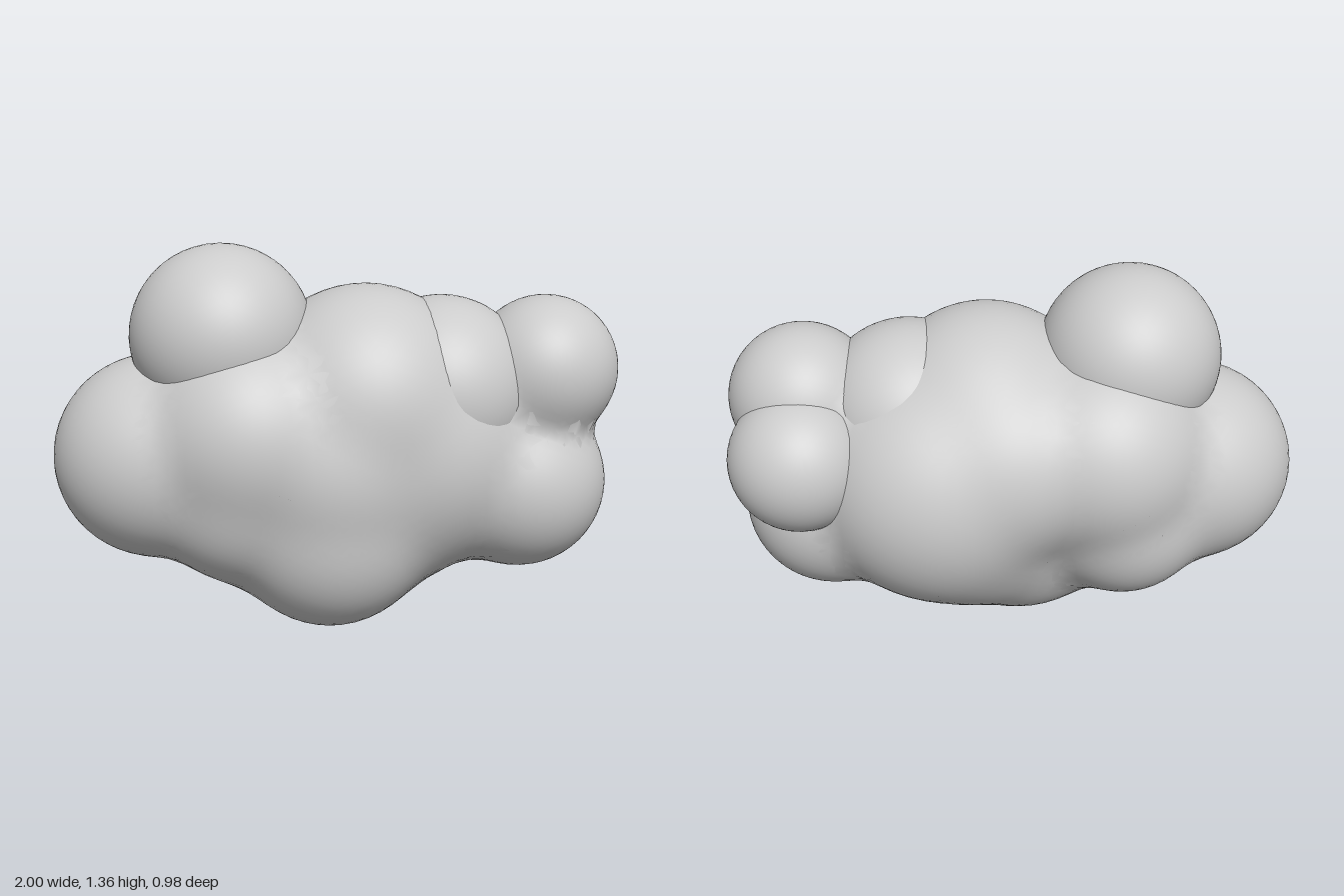
import * as THREE from 'three';

// Puffs of the cloud: name, centre x, y, z, radius
// Soft puffs melt into each other with rounded valleys
const SOFT = [
  ['leftEndPuff', -0.64, 0.62, 0.02, 0.36],
  ['topMiddlePuff', 0.1, 0.82, 0.05, 0.405],
  ['upperEndPuff', 0.74, 0.917, 0.05, 0.26],
  ['lowerEndPuff', 0.66, 0.5, 0.04, 0.315],
  ['bottomPuff', -0.03, 0.365, 0.1, 0.36],
  ['corePuff', 0.27, 0.63, -0.03, 0.46],
  ['frontLeftPuff', -0.31, 0.72, 0.11, 0.38],
  ['frontMiddlePuff', -0.02, 0.6, 0.12, 0.365],
  ['backLeftPuff', -0.3, 0.76, -0.11, 0.365],
  ['backMiddlePuff', 0.03, 0.74, -0.1, 0.365],
  ['backLowerPuff', -0.38, 0.5, -0.12, 0.295],
  ['frontLowerPuff', -0.36, 0.5, 0.13, 0.295],
  ['rightSaddlePuff', 0.14, 0.48, 0, 0.37],
  ['leftSaddlePuff', -0.24, 0.46, 0.05, 0.32],
];

// Firm puffs keep a sharp crease where they meet the rest
const FIRM = [
  ['crownPuff', -0.4, 1.05, 0.03, 0.32],
  ['shoulderPuff', 0.37, 0.85, 0.04, 0.33],
  ['backEndPuff', 0.75, 0.77, -0.14, 0.25],
];

const BLEND = 0.03;

// Smooth distance to the union of the soft puffs
function distance(p) {
  let sum = 0;
  for (const [, x, y, z, r] of SOFT) {
    sum += Math.exp((r - Math.hypot(p.x - x, p.y - y, p.z - z)) / BLEND);
  }
  return -BLEND * Math.log(sum);
}

// Outward direction of the blended surface
function slope(p) {
  const e = 0.002;
  const along = (x, y, z) =>
    distance(new THREE.Vector3(p.x + x, p.y + y, p.z + z)) -
    distance(new THREE.Vector3(p.x - x, p.y - y, p.z - z));
  return new THREE.Vector3(along(e, 0, 0), along(0, e, 0), along(0, 0, e)).normalize();
}

// Swells the ball near its neighbours so that the valleys fill in
function blendBall(geometry, center) {
  const position = geometry.attributes.position;
  const normal = geometry.attributes.normal;
  const p = new THREE.Vector3();
  for (let i = 0; i < position.count; i++) {
    p.fromBufferAttribute(position, i);
    if (distance(p) < -0.07) continue; // buried deep inside
    const outward = p.clone().sub(center).normalize();
    for (let step = 0; step < 6; step++) {
      p.addScaledVector(outward, Math.min(0.03, -distance(p)));
    }
    if (p.distanceTo(center) > geometry.parameters.radius + 0.12) continue;
    const n = slope(p);
    position.setXYZ(i, p.x, p.y, p.z);
    normal.setXYZ(i, n.x, n.y, n.z);
  }
}

export function createModel() {
  const cloud = new THREE.Group();
  cloud.name = 'cloud';
  const material = new THREE.MeshStandardMaterial({ color: 0xcccccc });

  for (const puffs of [SOFT, FIRM]) {
    for (const [name, x, y, z, radius] of puffs) {
      const ball = new THREE.IcosahedronGeometry(radius, 8);
      ball.translate(x, y, z);
      if (puffs === SOFT) blendBall(ball, new THREE.Vector3(x, y, z));
      const puff = new THREE.Mesh(ball, material);
      puff.name = name;
      cloud.add(puff);
    }
  }
  return cloud;
}
